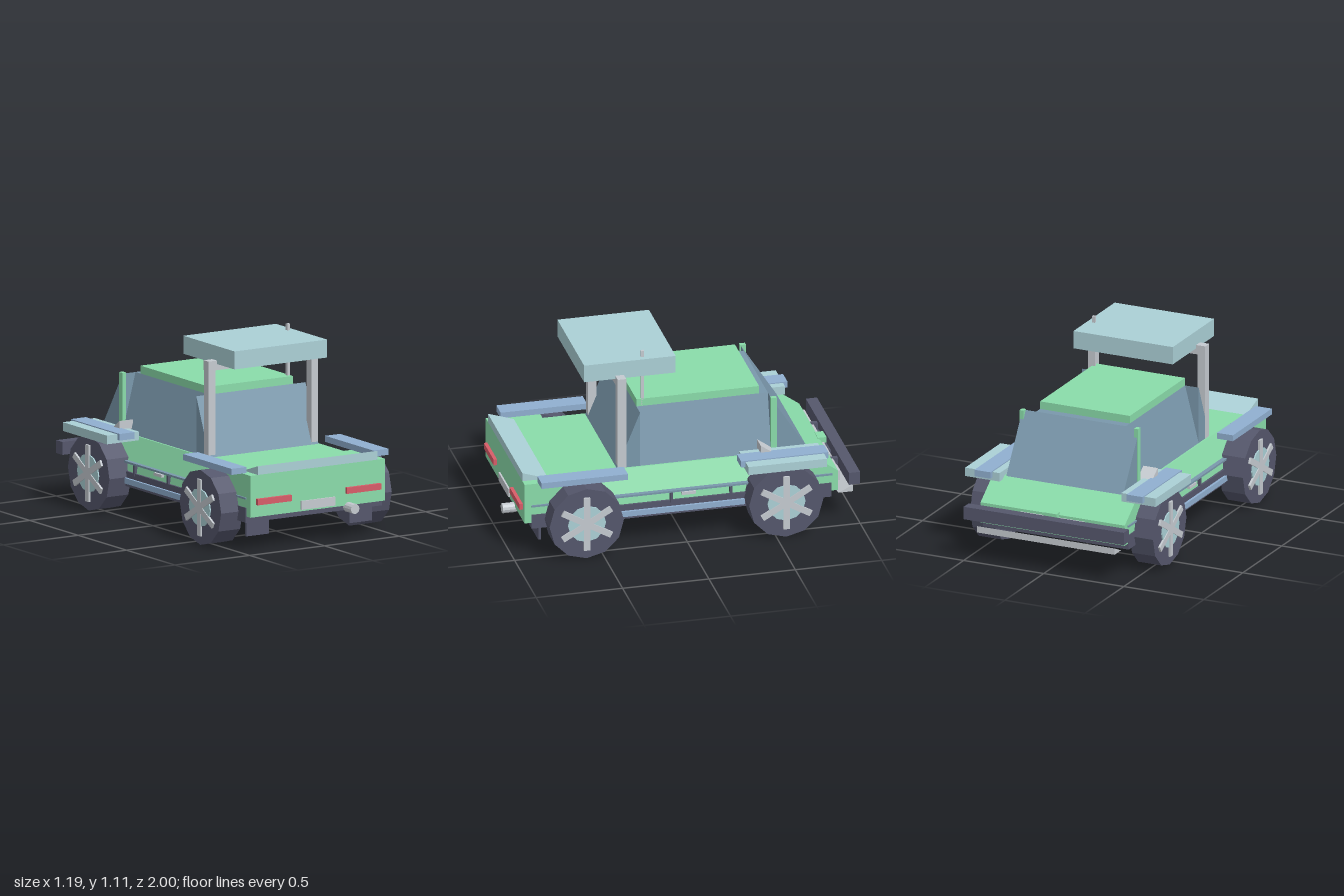
import * as THREE from 'three';

const mat = (name, color) => {
  const m = new THREE.MeshStandardMaterial({ color, flatShading: true });
  m.name = name;
  return m;
};

export function createModel() {
  const green = mat('body green', 0x8adcaa);
  const teal = mat('pale teal', 0xabd0d6);
  const slate = mat('window slate', 0x7a98ac);
  const dark = mat('dark rubber', 0x55576c);
  const silver = mat('silver', 0xc5cad0);
  const blue = mat('fender blue', 0x90afd0);
  const red = mat('lamp red', 0xd85d69);

  const car = new THREE.Group();
  car.name = 'car';
  const add = (name, geometry, material, parent = car) => {
    const mesh = new THREE.Mesh(geometry, material);
    mesh.name = name;
    parent.add(mesh);
    return mesh;
  };
  // Box given by its minimum and maximum on each axis
  const box = (name, material, [x0, x1], [y0, y1], [z0, z1]) => {
    const g = new THREE.BoxGeometry(x1 - x0, y1 - y0, z1 - z0);
    g.translate((x0 + x1) / 2, (y0 + y1) / 2, (z0 + z1) / 2);
    return add(name, g, material);
  };
  // The same box on the left and the right
  const pair = (name, material, [x0, x1], y, z) => {
    box(name + 'Left', material, [x0, x1], y, z);
    box(name + 'Right', material, [-x1, -x0], y, z);
  };
  const extrude = (points, depth) => {
    const shape = new THREE.Shape(points.map(([a, b]) => new THREE.Vector2(a, b)));
    const g = new THREE.ExtrudeGeometry(shape, { depth, bevelEnabled: false });
    return g.translate(0, 0, -depth / 2);
  };
  // Side profile of [z, y] points, extruded across the car
  const sideProfile = (name, material, points, width, x = 0) =>
    add(name, extrude(points, width).rotateY(-Math.PI / 2).translate(x, 0, 0), material);
  // Cross-section of [x, y] points, extruded along the car
  const crossSection = (name, material, points, z0, z1) =>
    add(name, extrude(points, z1 - z0).translate(0, 0, (z0 + z1) / 2), material);

  // Chassis and body with inclined flanks between the axles
  box('chassis', dark, [-0.455, 0.455], [0.165, 0.25], [-0.845, 0.89]);
  sideProfile('nose', green,
    [[-0.67, 0.2], [-0.67, 0.44], [-0.72, 0.44], [-0.885, 0.32], [-0.885, 0.2]], 0.9);
  crossSection('flanks', green,
    [[-0.45, 0.2], [0.45, 0.2], [0.435, 0.3], [0.375, 0.44], [-0.375, 0.44], [-0.435, 0.3]],
    -0.67, 0.62);
  box('tail', green, [-0.45, 0.45], [0.2, 0.44], [0.62, 0.93]);
  sideProfile('tailSpoiler', teal, [[0.78, 0.44], [0.93, 0.44], [0.93, 0.49]], 0.8);

  // Cabin: inclined side windows between full-width front and rear wedges
  crossSection('sideWindows', slate,
    [[-0.365, 0.44], [0.365, 0.44], [0.28, 0.77], [-0.28, 0.77]], -0.52, 0.24);
  sideProfile('windshield', slate, [[-0.73, 0.44], [-0.52, 0.44], [-0.52, 0.77]], 0.73);
  sideProfile('rearWindow', slate, [[0.24, 0.44], [0.375, 0.44], [0.24, 0.77]], 0.73);
  box('roof', green, [-0.28, 0.28], [0.77, 0.815], [-0.47, 0.24]);
  pair('pillar', green, [0.345, 0.37], [0.44, 0.775], [-0.55, -0.517]);

  // Rear frame with the raised wing and the aerial
  pair('wingPost', silver, [0.32, 0.366], [0.44, 0.94], [0.32, 0.37]);
  box('wingCrossbar', silver, [-0.367, 0.367], [0.935, 0.99], [0.32, 0.37]);
  box('wing', teal, [-0.31, 0.31], [0.97, 1.073], [0.02, 0.55]);
  box('aerial', silver, [0.262, 0.28], [0.77, 1.11], [0.195, 0.213]);

  // Fenders
  pair('rearFender', blue, [0.425, 0.525], [0.44, 0.475], [0.35, 0.85]);
  pair('frontFender', blue, [0.425, 0.525], [0.44, 0.478], [-0.81, -0.305]);
  pair('frontFenderFlare', teal, [0.38, 0.595], [0.422, 0.472], [-0.785, -0.33]);

  // Side trim
  pair('sideStripe', slate, [0.425, 0.458], [0.298, 0.309], [-0.85, 0.89]);
  pair('runningBoard', blue, [0.45, 0.47], [0.183, 0.215], [-0.34, 0.4]);
  pair('doorHandle', silver, [0.43, 0.457], [0.275, 0.292], [-0.06, 0.02]);
  for (const z of [-0.265, 0.08]) {
    pair('doorSeam', dark, [0.43, 0.456], [0.235, 0.297], [z - 0.008, z + 0.008]);
  }
  for (const s of [-1, 1]) {
    sideProfile('mirror', silver,
      [[-0.52, 0.465], [-0.44, 0.465], [-0.44, 0.52]], 0.09, s * 0.395);
  }

  // Nose details
  box('frontBumper', dark, [-0.5, 0.5], [0.248, 0.322], [-1, -0.935]);
  sideProfile('frontSplitter', silver, [[-0.89, 0.172], [-0.975, 0.172], [-0.975, 0.21]], 0.86);
  box('grille', dark, [-0.14, 0.14], [0.22, 0.3], [-0.92, -0.88]);
  box('grilleFrame', silver, [-0.2, 0.2], [0.215, 0.305], [-0.905, -0.88]);
  box('hoodLatch', green, [-0.04, 0.04], [0.3, 0.335], [-0.92, -0.87]);
  pair('headlamp', silver, [0.25, 0.41], [0.24, 0.3], [-0.905, -0.88]);
  pair('bumperBracket', dark, [0.22, 0.25], [0.26, 0.3], [-0.94, -0.88]);

  // Tail details
  pair('tailLamp', red, [0.185, 0.413], [0.27, 0.305], [0.93, 0.95]);
  box('numberPlate', silver, [-0.113, 0.113], [0.21, 0.26], [0.93, 0.94]);
  pair('mudFlap', dark, [0.27, 0.42], [0.075, 0.2], [0.828, 0.843]);
  add('exhaust', new THREE.CylinderGeometry(0.029, 0.029, 0.08, 12)
    .rotateX(Math.PI / 2).translate(0.206, 0.19, 0.96), silver);

  // Wheels: twelve-sided tyre, hub disc and three crossing bars as six spokes
  const disc = (r, width, x) =>
    new THREE.CylinderGeometry(r, r, width, 12).rotateZ(-Math.PI / 2).translate(x, 0, 0);
  for (const side of [1, -1]) {
    for (const [end, z] of [['rear', 0.6], ['front', -0.555]]) {
      const wheel = new THREE.Group();
      wheel.name = end + 'Wheel' + (side > 0 ? 'Left' : 'Right');
      add('tyre', disc(0.215, 0.145, 0), dark, wheel);
      add('hub', disc(0.11, 0.02, 0.07), teal, wheel);
      for (let i = 0; i < 3; i++) {
        const bar = new THREE.BoxGeometry(0.02, 0.325, 0.036);
        bar.rotateX(i * Math.PI / 3).translate(0.075, 0, 0);
        add('spokes', bar, silver, wheel);
      }
      wheel.position.set(side * 0.498, 0.217, z);
      if (side < 0) wheel.rotation.y = Math.PI;
      car.add(wheel);
    }
  }
  return car;
}
